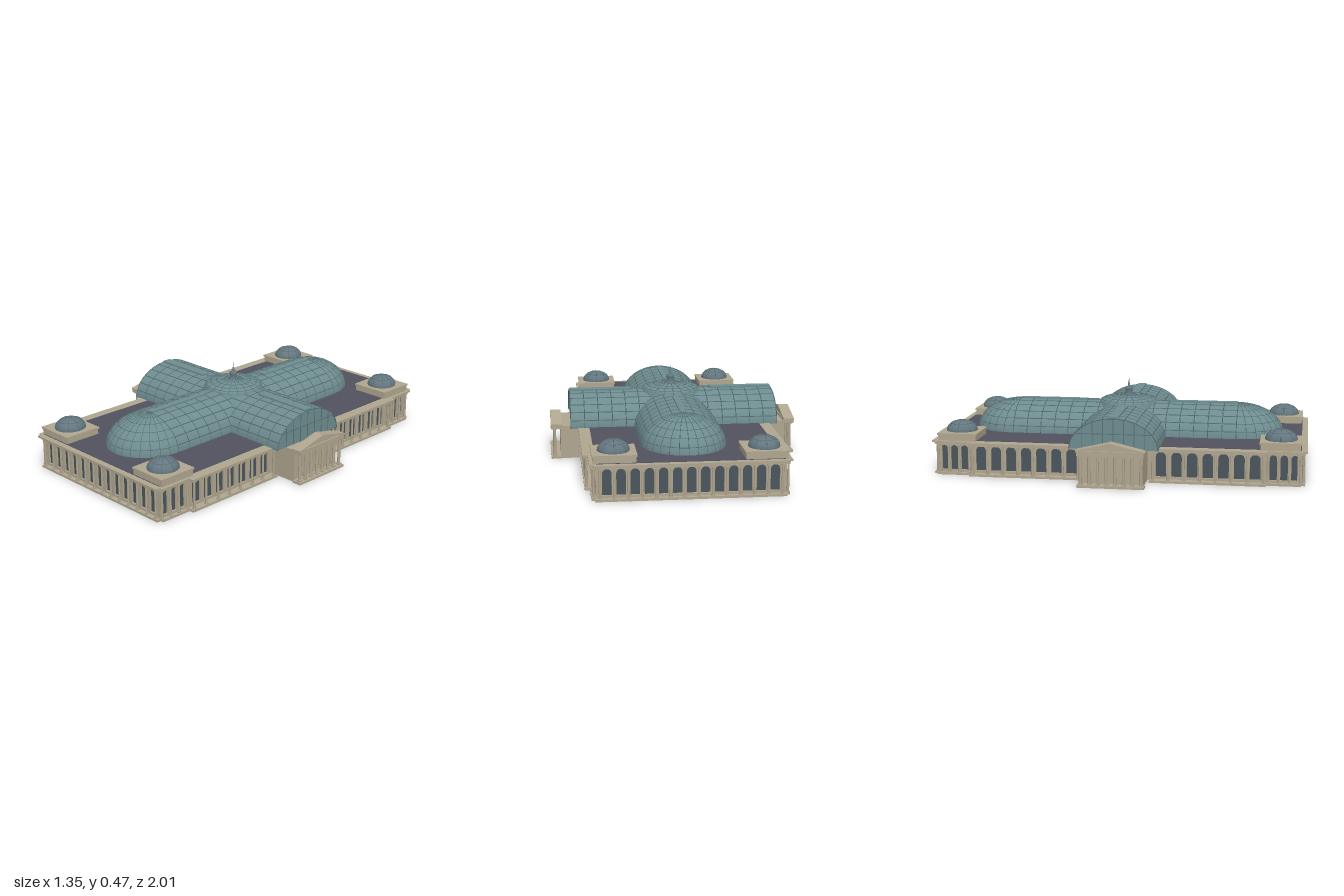
import * as THREE from 'three';

const mat = (color, side = THREE.FrontSide) => new THREE.MeshStandardMaterial({ color, side });
const stone = mat(0xb0a68f);
const glass = mat(0x6e8c8f, THREE.DoubleSide);
const rib = mat(0x587274);
const slate = mat(0x647680, THREE.DoubleSide);
const pane = mat(0x4a555d);
const roofing = mat(0x52525f);

function add(parent, name, geometry, material, x = 0, y = 0, z = 0) {
  const mesh = new THREE.Mesh(geometry, material);
  mesh.name = name;
  mesh.position.set(x, y, z);
  parent.add(mesh);
  return mesh;
}
const box = (p, name, m, w, h, d, x, y, z) => add(p, name, new THREE.BoxGeometry(w, h, d), m, x, y + h / 2, z);

function group(parent, name, x = 0, y = 0, z = 0, turn = 0) {
  const g = new THREE.Group();
  g.name = name;
  g.position.set(x, y, z);
  g.rotation.y = turn;
  parent.add(g);
  return g;
}

function tube(parent, name, points, radius = 0.0025) {
  const curve = new THREE.CatmullRomCurve3(points);
  add(parent, name, new THREE.TubeGeometry(curve, points.length * 2, radius, 4), rib);
}

// Column with square base and capital, standing on y
function column(parent, x, z, y, h, r) {
  add(parent, 'columnShaft', new THREE.CylinderGeometry(r * 0.85, r, h, 10), stone, x, y + h / 2, z);
  box(parent, 'columnBase', stone, r * 2.6, 0.008, r * 2.6, x, y, z);
  box(parent, 'columnCapital', stone, r * 2.6, 0.008, r * 2.6, x, y + h - 0.008, z);
}

// Arcaded wall facing local +z; columns stand 'proud' of the wall under an entablature
function facade(parent, name, length, count, spacing, proud, x, z, turn) {
  const g = group(parent, name, x, 0, z, turn);
  const wall = new THREE.Shape();
  wall.moveTo(-length / 2, 0).lineTo(length / 2, 0).lineTo(length / 2, 0.166).lineTo(-length / 2, 0.166).closePath();
  const hw = spacing * 0.34;
  for (let i = 0; i < count; i++) {
    const cx = (i - (count - 1) / 2) * spacing;
    const hole = new THREE.Path();
    hole.moveTo(cx - hw, 0.025).lineTo(cx - hw, 0.158 - hw);
    hole.absarc(cx, 0.158 - hw, hw, Math.PI, 0, true);
    hole.lineTo(cx + hw, 0.025);
    wall.holes.push(hole);
  }
  const geo = new THREE.ExtrudeGeometry(wall, { depth: 0.018, bevelEnabled: false, curveSegments: 8 });
  add(g, 'arcadeWall', geo, stone, 0, 0, -0.018);
  box(g, 'windowPanes', pane, length - 0.01, 0.15, 0.006, 0, 0.012, -0.013);
  for (let i = 0; i <= count; i++) column(g, (i - count / 2) * spacing, proud, 0.01, 0.156, 0.0065);
  const reach = proud + 0.011;
  box(g, 'plinth', stone, length, 0.012, reach, 0, 0, reach / 2);
  box(g, 'architrave', stone, length, 0.01, reach + 0.01, 0, 0.164, reach / 2 - 0.005);
  box(g, 'cornice', stone, length + 0.02, 0.01, reach + 0.025, 0, 0.174, reach / 2 - 0.0025);
}

// Half-elliptical glass vault along local z, with ribs
function vault(parent, name, w, h, length, turn) {
  const g = group(parent, name, 0, 0.18, 0, turn);
  const shell = new THREE.CylinderGeometry(1, 1, length, 32, 1, true, Math.PI / 2, Math.PI);
  add(g, 'glassVault', shell.rotateX(Math.PI / 2).scale(w, h, 1), glass);
  const n = Math.round(length / 0.075);
  for (let i = 0; i <= n; i++) {
    const z = (i / n - 0.5) * length;
    const arc = Array.from({ length: 13 }, (_, k) => {
      const a = (k / 12) * Math.PI;
      return new THREE.Vector3(Math.cos(a) * w, Math.sin(a) * h, z);
    });
    tube(g, 'archRib', arc);
  }
  for (let k = 1; k < 12; k++) {
    const a = (k / 12) * Math.PI;
    box(g, 'purlin', rib, 0.004, 0.004, length, Math.cos(a) * w, Math.sin(a) * h - 0.002, 0);
  }
}

// Elliptical dome with meridian ribs and rings; sweep PI gives a half dome facing +z
function dome(parent, name, material, rx, h, rz, sweep, meridians, rings) {
  const g = group(parent, name);
  add(g, 'domeShell', new THREE.SphereGeometry(1, 32, 12, 0, sweep, 0, Math.PI / 2).scale(rx, h, rz), material);
  const at = (phi, t) => new THREE.Vector3(-Math.cos(phi) * Math.cos(t) * rx, Math.sin(t) * h, Math.sin(phi) * Math.cos(t) * rz);
  for (let i = 0; i <= meridians; i++) {
    const phi = (i / meridians) * sweep;
    tube(g, 'meridianRib', Array.from({ length: 7 }, (_, k) => at(phi, (k / 6) * Math.PI / 2)), 0.0018);
  }
  for (let j = 1; j <= rings; j++) {
    const t = (j / (rings + 1)) * Math.PI / 2;
    tube(g, 'ringRib', Array.from({ length: 17 }, (_, k) => at((k / 16) * sweep, t)), 0.0018);
  }
  return g;
}

const rect = (path, x0, x1, z0, z1) => path.moveTo(x0, z0).lineTo(x1, z0).lineTo(x1, z1).lineTo(x0, z1).closePath();

// Plan shape with rectangular openings, raised vertically
function planSlab(parent, name, outer, openings, y, h) {
  const shape = rect(new THREE.Shape(), ...outer);
  shape.holes = openings.map(o => rect(new THREE.Path(), ...o));
  const geo = new THREE.ExtrudeGeometry(shape, { depth: h, bevelEnabled: false });
  add(parent, name, geo.rotateX(-Math.PI / 2), stone, 0, y, 0);
}

// Columned portico facing local +z
function portico(parent, turn) {
  const g = group(parent, 'portico', 0, 0, 0, turn);
  planSlab(g, 'porchWalls', [-0.165, 0.165, -0.62, -0.45], [[-0.16, 0.16, -0.615, -0.455]], 0, 0.172);
  box(g, 'porchRoof', stone, 0.33, 0.01, 0.17, 0, 0.17, 0.535);
  box(g, 'porchStep', stone, 0.35, 0.012, 0.055, 0, 0, 0.646);
  for (let i = 0; i < 8; i++) column(g, (i - 3.5) * 0.045, 0.652, 0.012, 0.156, 0.0085);
  box(g, 'porchEntablature', stone, 0.35, 0.02, 0.06, 0, 0.166, 0.643);
  const gable = new THREE.Shape();
  gable.moveTo(-0.18, 0.186).lineTo(0.18, 0.186).lineTo(0.18, 0.194).lineTo(0, 0.236).lineTo(-0.18, 0.194).closePath();
  const recess = new THREE.Path();
  recess.moveTo(-0.14, 0.193).lineTo(0.14, 0.193).lineTo(0, 0.226).closePath();
  gable.holes.push(recess);
  add(g, 'pediment', new THREE.ExtrudeGeometry(gable, { depth: 0.058, bevelEnabled: false }), stone, 0, 0, 0.615);
  const tympanum = new THREE.Shape([[-0.145, 0.19], [0.145, 0.19], [0, 0.229]].map(p => new THREE.Vector2(...p)));
  add(g, 'tympanum', new THREE.ExtrudeGeometry(tympanum, { depth: 0.045, bevelEnabled: false }), stone, 0, 0, 0.62);
}

export function createModel() {
  const model = new THREE.Group();
  model.name = 'glasshouseMuseum';
  const b = group(model, 'building', 0, 0, 0, 0.013);

  // Thin-walled shell divided into rooms open below, with ceilings outside the two nave courts
  const xs = [-0.454, -0.255, 0.255, 0.454], zs = [-0.946, -0.755, -0.205, 0.205, 0.755, 0.946];
  const rooms = [], t = 0.0025;
  for (let i = 0; i < 3; i++) for (let j = 0; j < 5; j++) rooms.push([xs[i] + t, xs[i + 1] - t, zs[j] + t, zs[j + 1] - t]);
  const footprint = [-0.4565, 0.4565, -0.9485, 0.9485];
  planSlab(b, 'partitionWalls', footprint, rooms, 0, 0.168);
  planSlab(b, 'ceiling', footprint, [rooms[6], rooms[8]], 0.167, 0.005);
  box(b, 'flatRoof', roofing, 0.93, 0.014, 1.935, 0, 0.172, 0);

  for (const turn of [0, Math.PI]) {
    const half = group(b, 'halfBuilding', 0, 0, 0, turn);
    facade(half, 'endArcade', 0.94, 13, 0.069, 0.013, 0, 0.966, 0);

    // Long sides: gallery arcades and pavilion returns
    for (const s of [-1, 1]) {
      const face = s * Math.PI / 2;
      facade(half, 'galleryArcade', 0.61, 7, 0.082, 0.03, s * 0.474, 0.485, face);
      facade(half, 'pavilionArcade', 0.175, 3, 0.056, 0.01, s * 0.468, 0.88, face);

      // Corner pavilion with its small dome
      const pav = group(half, 'cornerPavilion', s * 0.375, 0, 0.86);
      box(pav, 'pavilionBase', stone, 0.212, 0.032, 0.207, 0, 0.184, 0);
      box(pav, 'pavilionCornice', stone, 0.222, 0.01, 0.217, 0, 0.215, 0);
      const small = dome(pav, 'pavilionDome', slate, 0.08, 0.056, 0.084, Math.PI * 2, 8, 1);
      small.position.y = 0.225;
    }

    // Rounded nave end and raised ridge
    dome(half, 'naveApse', glass, 0.221, 0.165, 0.25, Math.PI, 14, 5).position.set(0, 0.18, 0.615);
    box(half, 'naveRidge', glass, 0.03, 0.012, 0.38, 0, 0.34, 0.425);

    portico(b, turn + Math.PI / 2);

    // Glazed transept gable with upright bars and a transom
    const gable = group(b, 'transeptGable', 0, 0.18, 0, turn + Math.PI / 2);
    add(gable, 'gableGlass', new THREE.CircleGeometry(1, 32, 0, Math.PI).scale(0.234, 0.165, 1), glass, 0, 0, 0.56);
    for (let i = -3; i <= 3; i++) {
      const x = i * 0.055;
      box(gable, 'gableBar', rib, 0.004, 0.165 * Math.sqrt(1 - (x / 0.234) ** 2), 0.004, x, 0, 0.56);
    }
    box(gable, 'gableTransom', rib, 0.4, 0.004, 0.004, 0, 0.08, 0.56);
    box(gable, 'transeptRidge', glass, 0.05, 0.014, 0.34, 0, 0.159, 0.392);
  }

  vault(b, 'nave', 0.221, 0.165, 1.23, 0);
  vault(b, 'transept', 0.235, 0.165, 1.13, Math.PI / 2);

  // Crossing dome, lantern and spire
  const crossing = group(b, 'crossingDome');
  add(crossing, 'domeDrum', new THREE.CylinderGeometry(0.16, 0.168, 0.026, 32), glass, 0, 0.335, 0);
  dome(crossing, 'crown', glass, 0.16, 0.034, 0.16, Math.PI * 2, 20, 4).position.y = 0.346;
  const profile = [[0.026, 0.375], [0.026, 0.384], [0.019, 0.386], [0.019, 0.41], [0.024, 0.412], [0.02, 0.42],
    [0.007, 0.428], [0.005, 0.445], [0.002, 0.448], [0.0015, 0.472], [0, 0.472]];
  add(crossing, 'lantern', new THREE.LatheGeometry(profile.map(p => new THREE.Vector2(...p)), 12), slate);
  return model;
}
